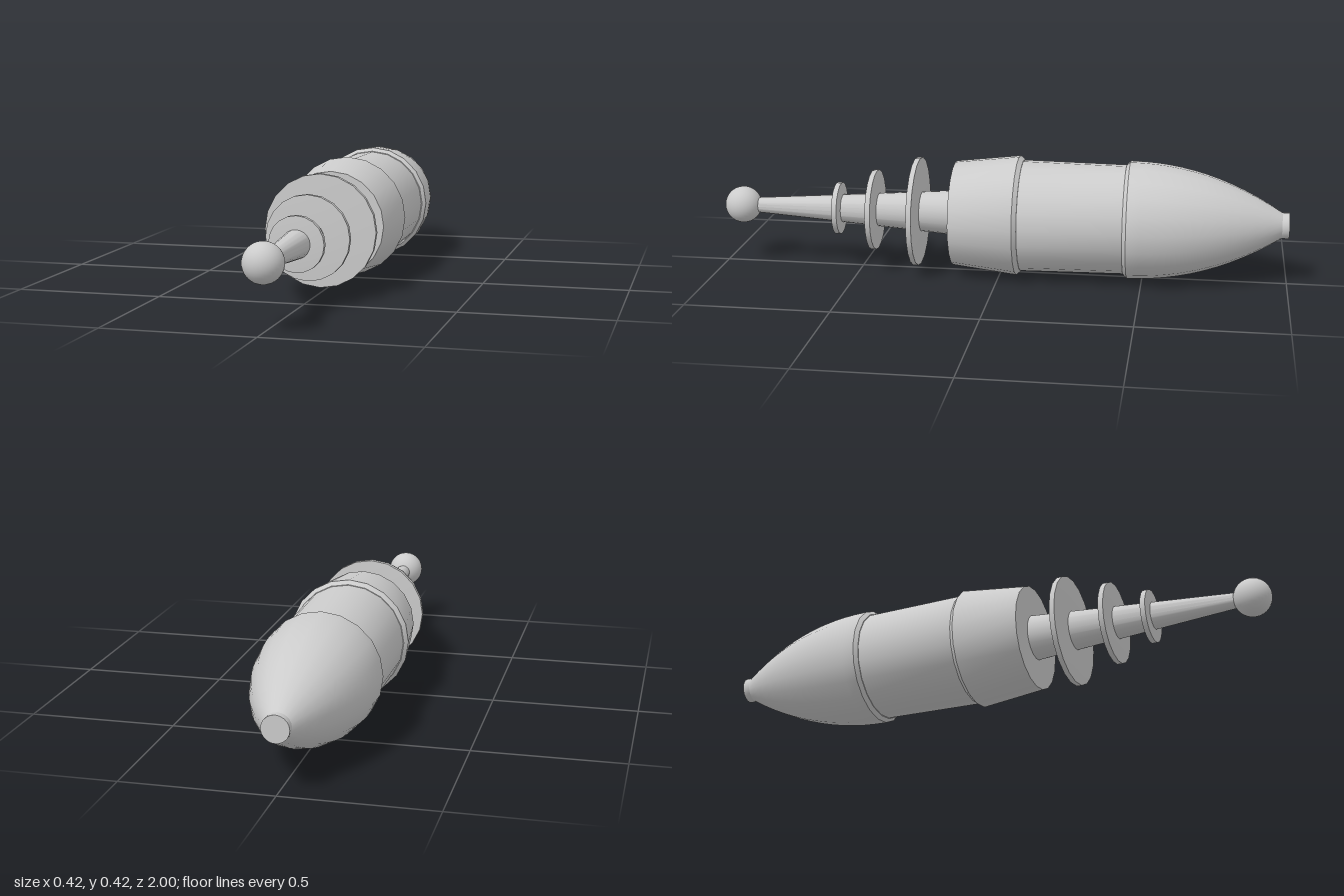
import * as THREE from 'three';
import { toCreasedNormals } from 'three/addons/utils/BufferGeometryUtils.js';

const SIDES = 20;
const AXIS_Y = 0.21;

export function createModel() {
  const model = new THREE.Group();
  const material = new THREE.MeshStandardMaterial({ color: 0xcccccc });

  function add(name, geometry, z = 0) {
    const mesh = new THREE.Mesh(geometry, material);
    mesh.name = name;
    mesh.position.set(0, AXIS_Y, z);
    model.add(mesh);
  }

  // Turned part along z: profile of [radius, z] pairs from back to front, closed at both ends
  function turned(name, profile, z = 0) {
    const closed = [[0, profile[0][1]], ...profile, [0, profile[profile.length - 1][1]]];
    const points = closed.map(([r, h]) => new THREE.Vector2(r, h));
    const geometry = new THREE.LatheGeometry(points, SIDES).rotateX(Math.PI / 2);
    add(name, toCreasedNormals(geometry, 0.5), z);
  }

  // Rounded tail cone with a short cylindrical tip
  const tail = [[0.045, -1]];
  for (let i = 0; i <= 12; i++) {
    const t = 1 - i / 12;
    tail.push([0.045 + 0.16 * (1 - t ** 2.1), -0.45 - 0.525 * t]);
  }
  tail.push([0.193, -0.437]);
  turned('tailCone', tail);

  // Main barrel
  turned('barrel', [[0.19, -0.445], [0.195, -0.06]]);

  // Tapered front collar with a bevelled rear lip
  turned('collar', [[0.197, -0.078], [0.21, -0.063], [0.184, 0.162]]);

  // Tapered rod and ball tip
  turned('rod', [[0.08, 0.15], [0.025, 0.9]]);
  add('ballTip', new THREE.SphereGeometry(0.065, 32, 20), 0.935);

  // Three cooling discs, shrinking towards the tip
  [[0.192, 0.296], [0.142, 0.451], [0.092, 0.582]].forEach(([r, z], i) => {
    turned(`disc${i + 1}`, [[r * 0.6, -0.014], [r, -0.009], [r, 0.009], [r * 0.6, 0.012]], z);
  });

  return model;
}
